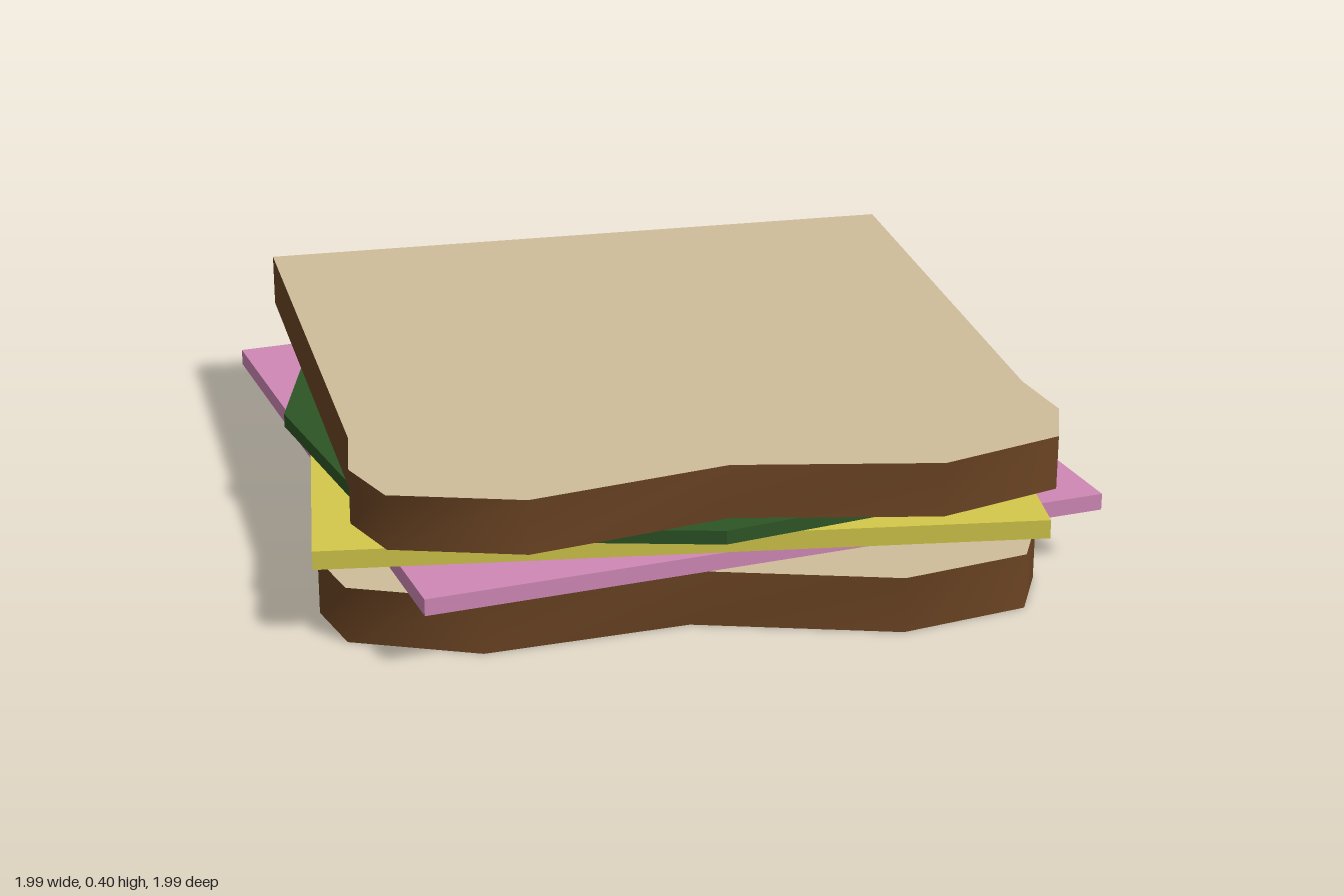
import * as THREE from 'three';

const mat = (name, color) => {
  const m = new THREE.MeshStandardMaterial({ color });
  m.name = name;
  return m;
};

// Half of the bread outline (x, z), from the back corner round to the front dip
const HALF = [[0.85, -0.857], [0.827, 0.495], [0.852, 0.687], [0.792, 0.852], [0.486, 0.95], [0, 0.852]];
const OUTLINE = [...HALF, ...HALF.slice(0, -1).reverse().map(([x, z]) => [-x, z])];

// Smooth-shaded wall around the bread outline
function crustGeometry(h) {
  const pos = [], idx = [], n = OUTLINE.length;
  OUTLINE.forEach(([x, z], i) => {
    pos.push(x, 0, z, x, h, z);
    const a = 2 * i, b = 2 * ((i + 1) % n);
    idx.push(b, a, a + 1, b, a + 1, b + 1);
  });
  const g = new THREE.BufferGeometry();
  g.setAttribute('position', new THREE.Float32BufferAttribute(pos, 3));
  g.setIndex(idx);
  g.computeVertexNormals();
  return g;
}

// Flat face of the bread; side is 1 for up, -1 for down
function crumbGeometry(side) {
  const shape = new THREE.Shape(OUTLINE.map(([x, z]) => new THREE.Vector2(x, -side * z)));
  return new THREE.ShapeGeometry(shape).rotateX(-side * Math.PI / 2);
}

export function createModel() {
  const crust = mat('crust brown', 0x6b4423);
  const crumb = mat('crumb tan', 0xd0bd9b);
  const ham = mat('ham pink', 0xcf87b5);
  const cheese = mat('cheese yellow', 0xd3c84a);
  const lettuce = mat('lettuce green', 0x2d5526);

  const model = new THREE.Group();
  model.name = 'sandwich';
  const add = (parent, name, geometry, material, y, turn = 0) => {
    const mesh = new THREE.Mesh(geometry, material);
    mesh.name = name;
    mesh.position.y = y;
    mesh.rotation.y = turn;
    parent.add(mesh);
  };

  // Two bread slices, turned opposite ways
  const bread = (name, y, h, turn) => {
    const slice = new THREE.Group();
    slice.name = name;
    slice.position.y = y;
    slice.rotation.y = turn;
    add(slice, 'crust', crustGeometry(h), crust, 0);
    add(slice, 'crumbTop', crumbGeometry(1), crumb, h);
    add(slice, 'crumbBottom', crumbGeometry(-1), crumb, 0);
    model.add(slice);
  };
  bread('bottomBread', 0, 0.137, -0.053);
  bread('topBread', 0.262, 0.133, 0.053);

  // Square fillings
  add(model, 'ham', new THREE.BoxGeometry(1.7, 0.041, 1.7), ham, 0.16, 0.19);
  add(model, 'cheese', new THREE.BoxGeometry(1.708, 0.046, 1.708), cheese, 0.204, -0.066);

  // Eight-sided lettuce leaf, bulging at the middle of each edge
  const leaf = new THREE.Shape();
  for (let i = 0; i < 8; i++) {
    const a = i * Math.PI / 4, r = i % 2 ? 1.06 : 0.922;
    leaf[i ? 'lineTo' : 'moveTo'](r * Math.cos(a), r * Math.sin(a));
  }
  const leafGeo = new THREE.ExtrudeGeometry(leaf, { depth: 0.034, bevelEnabled: false }).rotateX(-Math.PI / 2);
  add(model, 'lettuce', leafGeo, lettuce, 0.229, 0.028);

  return model;
}
